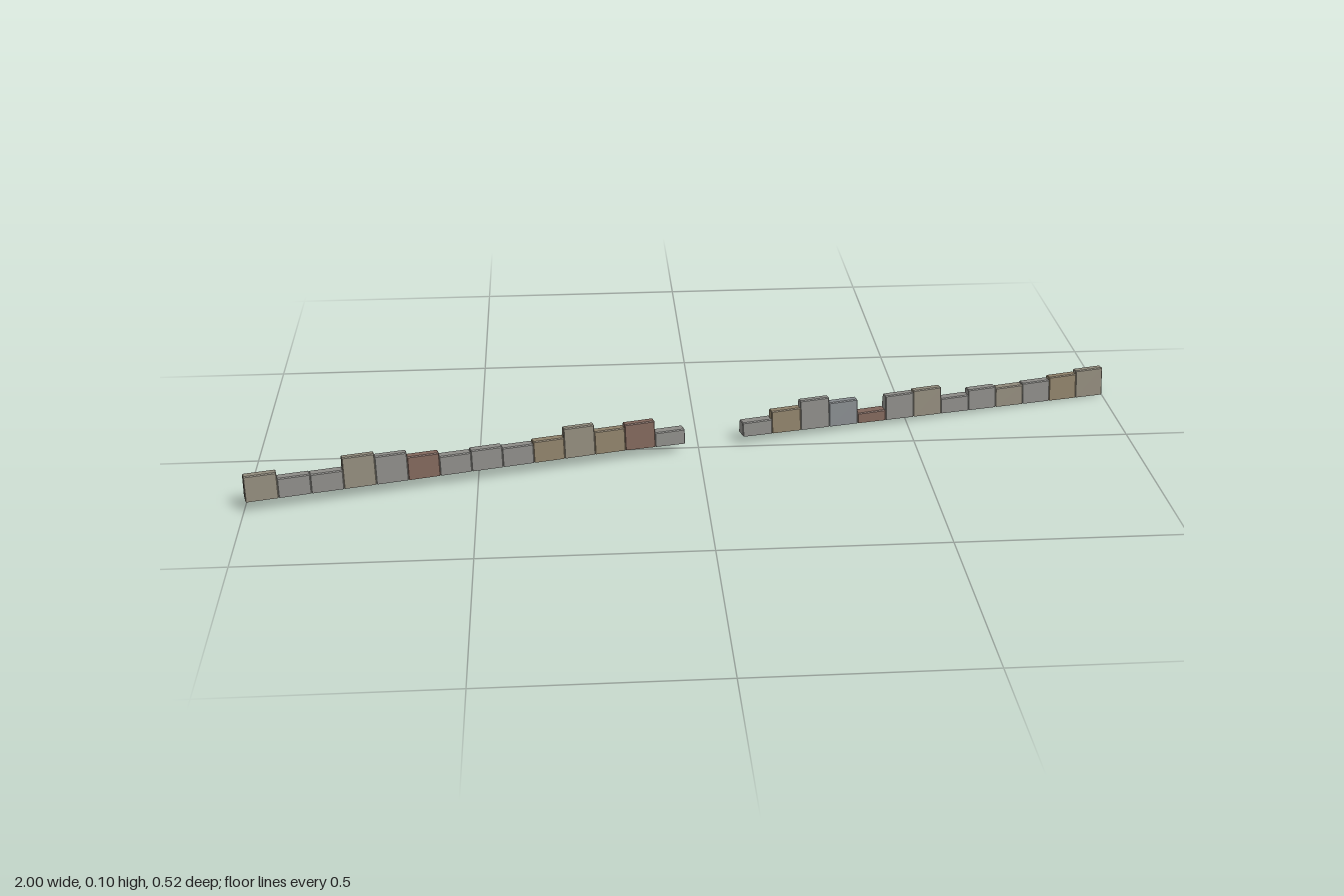
import * as THREE from 'three';

const ANGLE = Math.atan(0.246); // direction of the wall line
const BATTER = 0.11;            // inward lean of each face
const HALF = 0.0155;            // half thickness at the foot
const BEVEL = 0.0015;

const COLORS = {
  o: 0x8f897a, // olive
  g: 0x8b8a86, // grey
  b: 0x85898c, // bluish grey
  r: 0x7f655a, // reddish
  t: 0x8d8069, // tan
};

// One stone: battered section swept along x, its foot following the ground line
function stone(length, y0, y1, top, color) {
  const h = top - (y0 + y1) / 2;
  const w = HALF - BATTER * h, c = 0.002;
  const section = new THREE.Shape([
    [-HALF, 0], [HALF, 0], [w + c * BATTER, h - c], [w - c, h],
    [-w + c, h], [-w - c * BATTER, h - c],
  ].map(([x, y]) => new THREE.Vector2(x, y)));
  const geo = new THREE.ExtrudeGeometry(section, {
    depth: length - 2 * BEVEL, bevelEnabled: true, bevelSegments: 1,
    bevelThickness: BEVEL, bevelSize: BEVEL, bevelOffset: -BEVEL,
  });
  geo.translate(0, 0, BEVEL - length / 2);
  geo.rotateY(Math.PI / 2);
  const p = geo.attributes.position;
  for (let i = 0; i < p.count; i++) {
    const foot = THREE.MathUtils.lerp(y0, y1, p.getX(i) / length + 0.5);
    p.setY(i, THREE.MathUtils.lerp(foot, top, p.getY(i) / h));
  }
  geo.computeVertexNormals();
  return new THREE.Mesh(geo, new THREE.MeshStandardMaterial({ color: COLORS[color] }));
}

// A run of stones side by side from start to end
function wallRun(name, start, end, tops, colors, ground) {
  const run = new THREE.Group();
  run.name = name;
  const step = (end - start) / tops.length;
  tops.forEach((top, i) => {
    const a = start + i * step;
    const block = stone(step, ground(i / tops.length), ground((i + 1) / tops.length), top, colors[i]);
    block.position.x = a + step / 2;
    block.name = 'wallStone' + (i + 1);
    run.add(block);
  });
  return run;
}

export function createModel() {
  const wall = new THREE.Group();
  wall.name = 'stoneWall';

  // Level run, dipping slightly at the gap
  wall.add(wallRun('rightWall', -1.0265, -0.0365,
    [0.084, 0.07, 0.069, 0.097, 0.09, 0.079, 0.07, 0.074, 0.07, 0.075, 0.096, 0.079, 0.086, 0.057],
    'oggogrgggtotrg', (t) => 0.026 - Math.max(0, t - 0.85) * 0.025));

  // Run sloping downhill away from the gap
  wall.add(wallRun('leftWall', 0.1035, 1.0265,
    [0.052, 0.07, 0.086, 0.072, 0.037, 0.07, 0.074, 0.045, 0.057, 0.052, 0.055, 0.061, 0.068],
    'gtgbrgoggogto', (t) => 0.019 * (1 - t)));

  wall.rotation.y = ANGLE;
  const model = new THREE.Group();
  model.add(wall);
  return model;
}
